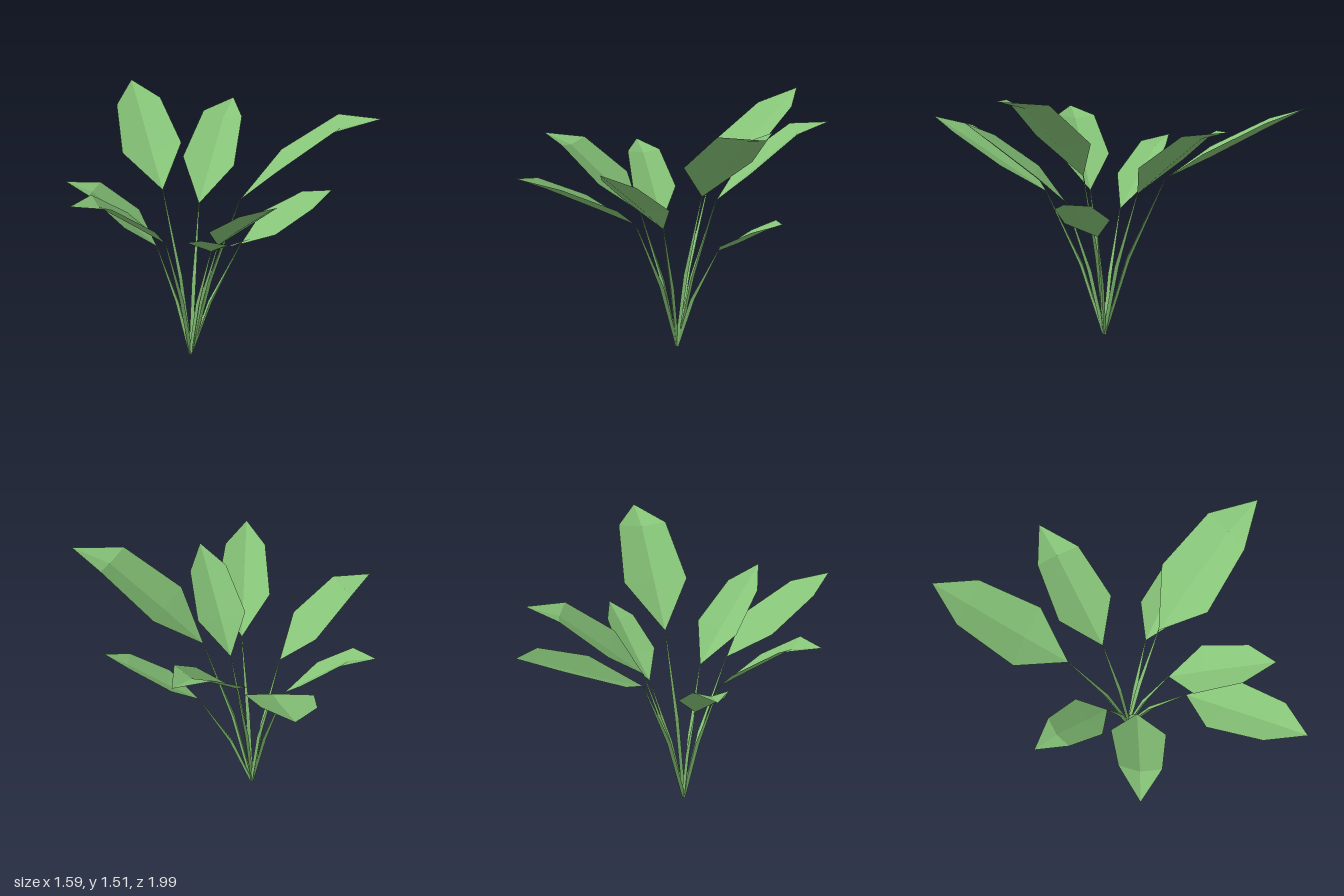
import * as THREE from 'three';

const v = (x, y, z) => new THREE.Vector3(x, y, z);

// Each leaf: base, tip, half-width vector, and how far it arches at two stations (share of its length)
const LEAVES = [
  { name: 'backLeaf', base: [0.04, 0.925, -0.28], tip: [0.28, 1.345, -1.0], side: [0.168, 0.015, 0.06], arch: [0.045, 0.039] },
  { name: 'backLeftLeaf', base: [0.17, 0.875, -0.098], tip: [0.68, 1.306, -0.472], side: [0.084, 0, 0.138], arch: [0.086, 0.11] },
  { name: 'backRightLeaf', base: [-0.15, 0.71, -0.052], tip: [-0.516, 1.068, -0.41], side: [-0.097, 0, 0.081], arch: [0.087, 0.114] },
  { name: 'rightLeaf', base: [-0.2, 0.813, 0.115], tip: [-0.797, 1.212, 0.16], side: [-0.005, 0.003, 0.148], arch: [0.085, 0.113] },
  { name: 'frontRightLeaf', base: [-0.082, 0.845, 0.38], tip: [-0.403, 1.236, 0.994], side: [0.14, 0, 0.075], arch: [0.056, 0.047] },
  { name: 'frontLeaf', base: [0.035, 0.804, 0.28], tip: [-0.02, 1.26, 0.825], side: [0.143, 0, 0.017], arch: [0.059, 0.042] },
  { name: 'frontLeftLeaf', base: [0.231, 1.0, 0.208], tip: [0.79, 1.507, 0.684], side: [0.133, 0, -0.128], arch: [0.092, 0.118] },
  { name: 'leftLeaf', base: [0.298, 0.677, 0.14], tip: [0.76, 0.987, 0.37], side: [0.041, 0.016, -0.115], arch: [0.047, 0.047] },
];
const ROOT = v(0.005, 0, 0.065);
const STATIONS = [0.33, 0.76]; // where the blade has its two cross-sections
const WIDTHS = [1, 0.76];
const FOLD = 0.25; // depth of the V along the midrib, relative to half width

function facetGeometry(points) {
  const geometry = new THREE.BufferGeometry().setFromPoints(points);
  geometry.computeVertexNormals();
  return geometry;
}

// Folded, arched blade with a pointed base and tip
function bladeGeometry({ base, tip, side, arch }) {
  const b = v(...base), t = v(...tip), s = v(...side);
  const chord = t.clone().sub(b);
  const up = s.clone().cross(chord).normalize();
  if (up.y < 0) up.negate();

  const sections = STATIONS.map((f, i) => {
    const centre = b.clone().addScaledVector(chord, f).addScaledVector(up, arch[i] * chord.length());
    const w = WIDTHS[i];
    const rib = centre.clone().addScaledVector(up, -FOLD * w * s.length());
    return { rib, edges: [centre.clone().addScaledVector(s, -w), centre.clone().addScaledVector(s, w)] };
  });

  const points = [];
  const face = (a, c, d) => {
    const n = c.clone().sub(a).cross(d.clone().sub(a));
    points.push(...(n.dot(up) > 0 ? [a, c, d] : [a, d, c])); // upper side is the front
  };
  const [p, q] = sections;
  for (const k of [0, 1]) {
    face(b, p.edges[k], p.rib);
    face(p.rib, p.edges[k], q.edges[k]);
    face(p.rib, q.edges[k], q.rib);
    face(q.rib, q.edges[k], t);
  }
  return facetGeometry(points);
}

// Three-sided stalk that leans outward above a bend and tapers to the blade
function stalkGeometry(base) {
  const end = v(...base);
  const d = end.clone().sub(ROOT);
  const bend = ROOT.clone().add(v(d.x * 0.39, d.y * 0.49, d.z * 0.39));
  const lean = Math.atan2(d.x, d.z);
  const ring = (c, r) => [0, 1, 2].map((i) => {
    const a = lean + (i * Math.PI * 2) / 3;
    return c.clone().add(v(Math.sin(a) * r, 0, Math.cos(a) * r));
  });
  const rings = [ring(ROOT, 0.012), ring(bend, 0.014), ring(end, 0.003)];
  const points = [];
  for (let j = 0; j < 2; j++) {
    for (let i = 0; i < 3; i++) {
      const k = (i + 1) % 3;
      const [lo, hi] = [rings[j], rings[j + 1]];
      points.push(lo[i], lo[k], hi[k], lo[i], hi[k], hi[i]);
    }
  }
  points.push(rings[0][0], rings[0][2], rings[0][1]); // underside
  return facetGeometry(points);
}

export function createModel() {
  const plant = new THREE.Group();
  plant.name = 'leafyPlant';
  const green = new THREE.MeshStandardMaterial({ color: 0x86c478, side: THREE.DoubleSide, flatShading: true });
  green.name = 'leafGreen';

  for (const spec of LEAVES) {
    const leaf = new THREE.Group();
    leaf.name = spec.name;
    const blade = new THREE.Mesh(bladeGeometry(spec), green);
    blade.name = 'blade';
    const stalk = new THREE.Mesh(stalkGeometry(spec.base), green);
    stalk.name = 'stalk';
    leaf.add(blade, stalk);
    plant.add(leaf);
  }
  return plant;
}
